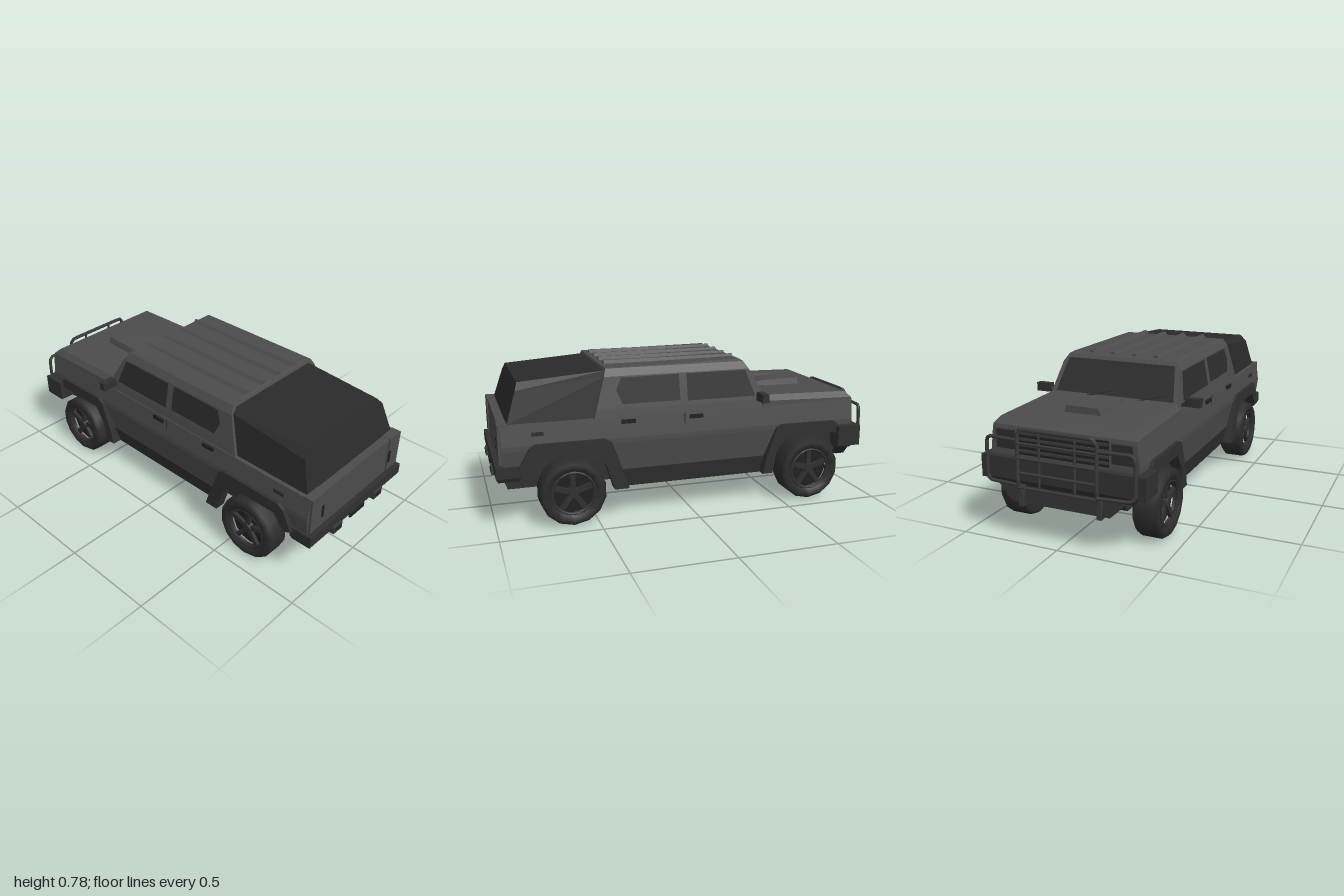
import * as THREE from 'three';

const mat = (name, color, side = THREE.FrontSide) => {
  const m = new THREE.MeshStandardMaterial({ color, side });
  m.name = name;
  return m;
};

export function createModel() {
  const root = new THREE.Group();
  root.name = 'offRoadTruck';
  const body = mat('bodyGrey', 0x4c4c4c);
  const trim = mat('darkTrim', 0x303030);
  const glass = mat('darkGlass', 0x2c2c2c, THREE.DoubleSide);
  const cover = mat('bedCover', 0x2a2a2a);
  const rubber = mat('tyreRubber', 0x2d2d2d);
  const rim = mat('rimBlack', 0x202020);
  const metal = mat('barMetal', 0x3a3a3a);

  const add = (name, geo, m, x = 0, y = 0, z = 0, parent = root) => {
    const mesh = new THREE.Mesh(geo, m);
    mesh.name = name;
    mesh.position.set(x, y, z);
    parent.add(mesh);
    return mesh;
  };
  // box given by its limits
  const box = (name, m, x0, x1, y0, y1, z0, z1, parent = root) =>
    add(name, new THREE.BoxGeometry(x1 - x0, y1 - y0, z1 - z0), m,
      (x0 + x1) / 2, (y0 + y1) / 2, (z0 + z1) / 2, parent);
  // faceted solid through levels [xFront, xBack, yFront, halfWidth, yBack]
  const stack = (name, m, levels) => {
    const rings = levels.map(([a, b, y, z, y2 = y]) =>
      [[a, y, z], [b, y2, z], [b, y2, -z], [a, y, -z]]);
    const pos = [];
    const quad = (a, b, c, d) => pos.push(...a, ...b, ...c, ...a, ...c, ...d);
    for (let i = 0; i + 1 < rings.length; i++)
      for (let k = 0; k < 4; k++) {
        const n = (k + 1) % 4;
        quad(rings[i][k], rings[i][n], rings[i + 1][n], rings[i + 1][k]);
      }
    quad(...rings[rings.length - 1]);
    quad(...[...rings[0]].reverse());
    const g = new THREE.BufferGeometry();
    g.setAttribute('position', new THREE.Float32BufferAttribute(pos, 3));
    g.computeVertexNormals();
    return add(name, g, m);
  };
  const shape = (pts) => new THREE.Shape(pts.map((p) => new THREE.Vector2(...p)));
  const tube = (name, pts, r = 0.009, m = metal) => {
    const path = new THREE.CurvePath();
    const v = pts.map((p) => new THREE.Vector3(...p));
    for (let i = 0; i + 1 < v.length; i++) path.add(new THREE.LineCurve3(v[i], v[i + 1]));
    add(name, new THREE.TubeGeometry(path, (v.length - 1) * 5, r, 6), m);
  };

  // body shell
  stack('upperBody', body, [[-0.92, 0.96, 0.395, 0.378], [-0.92, 0.96, 0.42, 0.378], [-0.92, 0.96, 0.522, 0.365]]);
  stack('hood', body, [[-0.92, -0.39, 0.52, 0.365], [-0.917, -0.39, 0.537, 0.363, 0.55], [-0.885, -0.39, 0.568, 0.34, 0.578]]);
  stack('doors', body, [[-0.43, 0.38, 0.25, 0.355], [-0.5, 0.45, 0.397, 0.377]]);
  stack('noseCorner', body, [[-0.91, -0.84, 0.3, 0.36], [-0.92, -0.8, 0.397, 0.377]]);
  stack('rearQuarter', body, [[0.87, 0.955, 0.3, 0.365], [0.79, 0.96, 0.397, 0.377]]);
  stack('cabin', body, [[-0.44, 0.505, 0.52, 0.361], [-0.415, 0.493, 0.56, 0.355], [-0.323, 0.445, 0.72, 0.325],
    [-0.3, 0.432, 0.757, 0.302], [-0.285, 0.415, 0.768, 0.285, 0.76]]);
  stack('bedCanopy', cover, [[0.47, 0.925, 0.52, 0.345], [0.44, 0.875, 0.72, 0.312, 0.675], [0.425, 0.862, 0.745, 0.28, 0.712]]);

  // underside, wheel arch lining and sills
  stack('underbody', trim, [[-0.84, 0.93, 0.178, 0.28], [-0.9, 0.955, 0.25, 0.28], [-0.9, 0.955, 0.39, 0.28]]);
  box('archLining', trim, -0.82, 0.84, 0.386, 0.393, -0.374, 0.374);
  stack('sills', trim, [[-0.41, 0.37, 0.155, 0.34], [-0.43, 0.39, 0.25, 0.36]]);

  // hood scoop: raised plate with sloping rear
  const scoop = new THREE.ExtrudeGeometry(shape([[-0.73, -0.1], [-0.53, -0.115], [-0.43, -0.08], [-0.43, 0.08], [-0.53, 0.115], [-0.73, 0.1]]),
    { depth: 0.045, bevelEnabled: false });
  scoop.rotateX(-Math.PI / 2);
  const sp = scoop.attributes.position;
  for (let i = 0; i < sp.count; i++)
    if (sp.getY(i) > 0.01) {
      sp.setZ(i, sp.getZ(i) * 0.85);
      if (sp.getX(i) > -0.5) sp.setY(i, 0.025);
    }
  scoop.computeVertexNormals();
  add('hoodScoop', scoop, body, 0, 0.56, 0);

  // roof ribs
  for (const z of [-0.18, -0.06, 0.06, 0.18]) {
    const g = new THREE.ExtrudeGeometry(shape([[-0.02, 0], [0.02, 0], [0.005, 0.016], [-0.005, 0.016]]), { depth: 0.7, bevelEnabled: false });
    g.rotateY(Math.PI / 2);
    add('roofRib', g, body, -0.285, 0.763, z);
  }

  // windscreen, on the slope of the cabin front
  const screen = new THREE.BufferGeometry();
  const wx = (y) => -0.415 + (y - 0.56) * 0.575 - 0.004;
  const sc = [[0.58, 0.325], [0.74, 0.295]].flatMap(([y, z]) => [wx(y), y, z, wx(y), y, -z]);
  screen.setAttribute('position', new THREE.Float32BufferAttribute(sc, 3));
  screen.setIndex([0, 2, 1, 1, 2, 3]);
  screen.computeVertexNormals();
  add('windscreen', screen, glass);
  for (const z of [-0.14, 0.14])
    tube('wiper', [[-0.425, 0.575, z], [-0.4, 0.61, z + 0.14]], 0.004, trim);

  // side windows leaning with the cabin
  const windows = {
    frontWindow: [[-0.35, 0.58], [0.02, 0.58], [0.02, 0.715], [-0.302, 0.715]],
    rearWindow: [[0.06, 0.585], [0.36, 0.585], [0.387, 0.655], [0.36, 0.713], [0.06, 0.715]],
  };
  for (const s of [-1, 1]) {
    for (const [name, pts] of Object.entries(windows)) {
      const g = new THREE.ShapeGeometry(shape(pts));
      const p = g.attributes.position;
      for (let i = 0; i < p.count; i++) p.setZ(i, s * (0.359 - (p.getY(i) - 0.56) * 0.1875));
      if (s < 0) g.setIndex([...g.index.array].reverse());
      g.computeVertexNormals();
      add(name, g, glass);
    }
    // handles, fuel flap and door seams
    for (const x of [-0.02, 0.335]) box('doorHandle', rim, x - 0.036, x + 0.036, 0.491, 0.51, s * 0.37 - 0.008, s * 0.37 + 0.008);
    box('sideMarker', trim, 0.755, 0.815, 0.463, 0.482, s * 0.372 - 0.004, s * 0.372 + 0.004);
    box('doorSeam', trim, 0.038, 0.042, 0.42, 0.52, s * 0.371 - 0.002, s * 0.371 + 0.002);

    // wing mirror
    box('mirrorHead', trim, -0.385, -0.35, 0.56, 0.604, s * 0.415 - 0.04, s * 0.415 + 0.04);
    tube('mirrorArm', [[-0.37, 0.555, s * 0.345], [-0.367, 0.582, s * 0.385]], 0.009, trim);

    // wheel arch flares
    const flares = {
      frontFlare: [[-0.85, 0.345], [-0.82, 0.405], [-0.8, 0.42], [-0.5, 0.422], [-0.465, 0.405], [-0.41, 0.25], [-0.39, 0.16],
        [-0.445, 0.16], [-0.465, 0.27], [-0.52, 0.357], [-0.79, 0.357]],
      rearFlare: [[0.34, 0.16], [0.37, 0.25], [0.425, 0.405], [0.46, 0.425], [0.8, 0.425], [0.83, 0.405], [0.885, 0.3],
        [0.84, 0.28], [0.78, 0.36], [0.5, 0.36], [0.455, 0.29], [0.415, 0.16]],
    };
    for (const [name, pts] of Object.entries(flares)) {
      const g = new THREE.ExtrudeGeometry(shape(pts), { depth: 0.055, bevelEnabled: false });
      add(name, g, trim, 0, 0, s * 0.3675 - 0.0275);
    }

    // headlights, tail corners and bumper ends
    box('headlight', glass, -0.926, -0.918, 0.425, 0.515, s * 0.295 - 0.05, s * 0.295 + 0.05);
    box('tailCorner', body, 0.92, 0.972, 0.33, 0.525, s * 0.318 - 0.047, s * 0.318 + 0.047);
    box('tailSeam', rim, 0.955, 0.975, 0.38, 0.45, s * 0.28 - 0.008, s * 0.28 + 0.008);
    box('frontBumperEnd', trim, -0.95, -0.82, 0.28, 0.39, s * 0.375 - 0.043, s * 0.375 + 0.043);
    box('towHook', metal, 0.97, 1.0, 0.235, 0.277, s * 0.172 - 0.034, s * 0.172 + 0.034);
    box('towHookGap', rim, 0.996, 1.002, 0.246, 0.267, s * 0.172 - 0.023, s * 0.172 + 0.023);
  }

  // grille
  box('grille', rim, -0.925, -0.918, 0.405, 0.525, -0.23, 0.23);
  for (let i = 0; i < 4; i++) box('grilleSlat', metal, -0.934, -0.92, 0.42 + i * 0.028, 0.431 + i * 0.028, -0.23, 0.23);

  // bumpers and tailgate
  stack('frontBumper', trim, [[-0.93, -0.86, 0.25, 0.35], [-0.955, -0.86, 0.29, 0.385], [-0.95, -0.86, 0.39, 0.385]]);
  stack('frontSkid', trim, [[-0.96, -0.9, 0.185, 0.25], [-0.945, -0.86, 0.26, 0.33]]);
  stack('rearBumper', trim, [[0.88, 0.98, 0.245, 0.37], [0.87, 0.99, 0.265, 0.38], [0.87, 0.99, 0.32, 0.38]]);
  box('bumperStep', rim, 0.985, 0.994, 0.24, 0.262, -0.06, 0.06);
  box('tailgate', body, 0.95, 0.966, 0.322, 0.522, -0.268, 0.268);

  // bull bar: centre hoop, side loops, cross bars and feet
  tube('bullBarHoop', [[-0.965, 0.24, -0.2], [-0.985, 0.3, -0.2], [-0.975, 0.52, -0.2], [-0.97, 0.54, -0.18],
    [-0.97, 0.54, 0.18], [-0.975, 0.52, 0.2], [-0.985, 0.3, 0.2], [-0.965, 0.24, 0.2]], 0.01);
  for (const y of [0.27, 0.34, 0.41, 0.48]) tube('bullBarCross', [[-0.984, y, -0.2], [-0.984, y, 0.2]], 0.007);
  for (const s of [-1, 1]) {
    tube('bullBarSide', [[-0.977, 0.49, s * 0.2], [-0.965, 0.49, s * 0.36], [-0.96, 0.47, s * 0.375],
      [-0.965, 0.3, s * 0.375], [-0.97, 0.28, s * 0.36], [-0.985, 0.28, s * 0.2]]);
    tube('bullBarUpright', [[-0.982, 0.27, s * 0.09], [-0.972, 0.54, s * 0.09]], 0.007);
    box('bullBarFoot', metal, -0.968, -0.93, 0.17, 0.27, s * 0.2 - 0.012, s * 0.2 + 0.012);
  }

  // wheels and axles
  const tyreGeo = new THREE.LatheGeometry([[0.11, -0.06], [0.15, -0.067], [0.167, -0.05], [0.167, 0.05], [0.15, 0.067], [0.115, 0.06], [0.108, 0.03]]
    .map((p) => new THREE.Vector2(...p)), 14);
  tyreGeo.rotateX(Math.PI / 2);
  const discGeo = new THREE.CylinderGeometry(0.112, 0.112, 0.08, 14).rotateX(Math.PI / 2);
  const hubGeo = new THREE.CylinderGeometry(0.025, 0.03, 0.03, 10).rotateX(Math.PI / 2);
  const rimGeo = new THREE.TorusGeometry(0.108, 0.008, 6, 14);
  for (const x of [-0.658, 0.626]) {
    for (const s of [-1, 1]) {
      const wheel = new THREE.Group();
      wheel.name = (x < 0 ? 'front' : 'rear') + 'Wheel';
      wheel.position.set(x, 0.168, s * 0.353);
      if (s < 0) wheel.rotation.y = Math.PI;
      add('tyre', tyreGeo, rubber, 0, 0, 0, wheel);
      add('rimDisc', discGeo, rim, 0, 0, -0.02, wheel);
      add('rimEdge', rimGeo, trim, 0, 0, 0.054, wheel);
      add('hub', hubGeo, trim, 0, 0, 0.038, wheel);
      for (let i = 0; i < 5; i++) {
        const a = Math.PI / 2 + (i * Math.PI * 2) / 5;
        const spoke = add('spoke', new THREE.BoxGeometry(0.092, 0.026, 0.018), trim, Math.cos(a) * 0.062, Math.sin(a) * 0.062, 0.037, wheel);
        spoke.rotation.z = a;
      }
      root.add(wheel);
    }
    add('axle', new THREE.CylinderGeometry(0.02, 0.02, 0.62, 8).rotateX(Math.PI / 2), trim, x, 0.165, 0);
  }
  return root;
}
